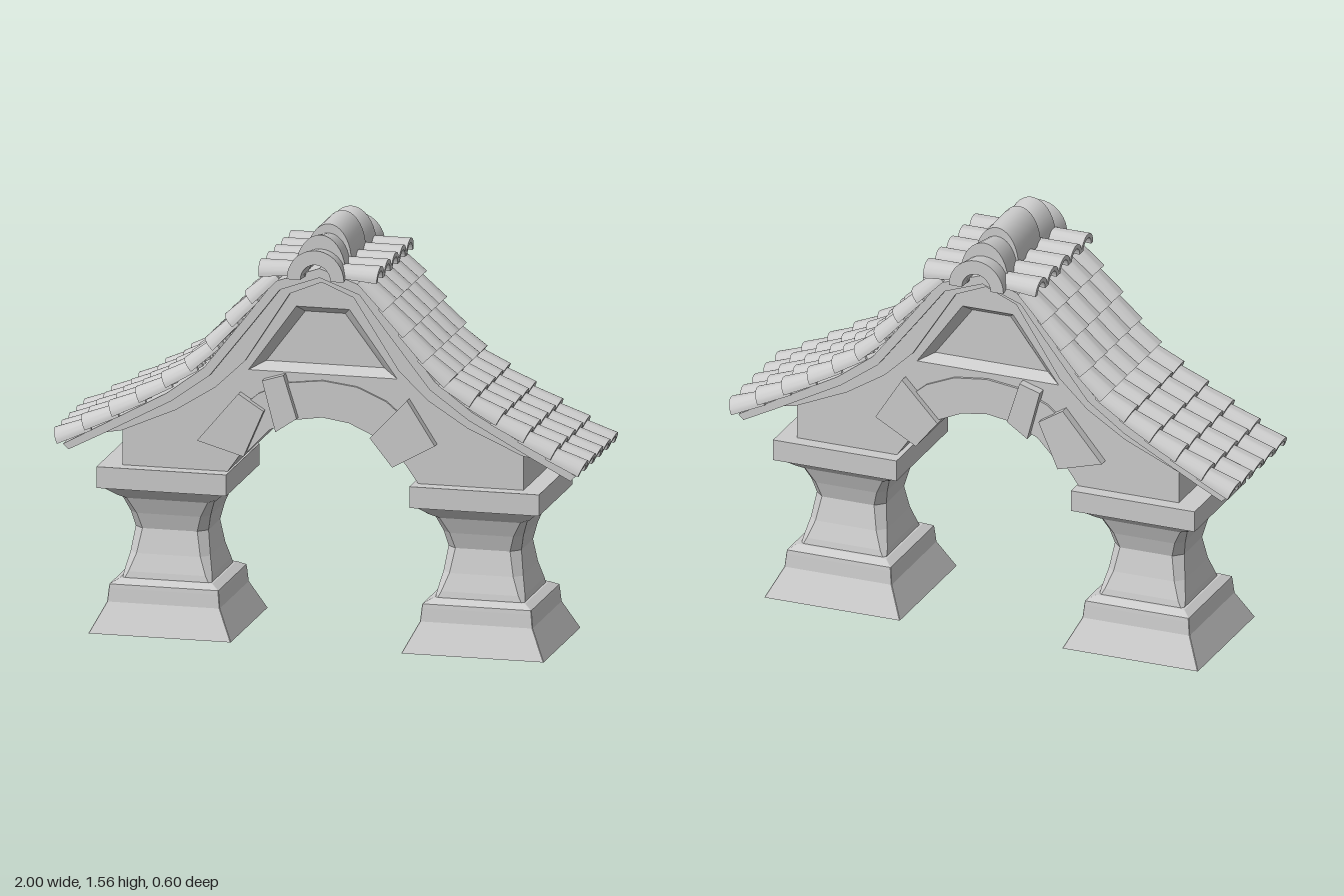
import * as THREE from 'three';
import { toCreasedNormals } from 'three/addons/utils/BufferGeometryUtils.js';

const V = (x, y) => new THREE.Vector2(x, y);
const vecs = (list) => list.map(([x, y]) => V(x, y));
const mirrored = (list) => list.map(([x, y]) => [-x, y]).reverse();
const stone = new THREE.MeshStandardMaterial({ color: 0xcccccc, side: THREE.DoubleSide });

function add(parent, geometry, name) {
  const mesh = new THREE.Mesh(geometry, stone);
  mesh.name = name;
  parent.add(mesh);
  return mesh;
}

// Flat outline extruded evenly to both sides of z = 0
function slab(outline, halfDepth, hole) {
  const shape = new THREE.Shape(vecs(outline));
  if (hole) shape.holes.push(new THREE.Path(vecs(hole)));
  const geo = new THREE.ExtrudeGeometry(shape, { depth: 2 * halfDepth, bevelEnabled: false });
  return geo.translate(0, 0, -halfDepth);
}

// Skin over equal-length loops of 3D points, with fan caps on convex ends
function loft(loops, capStart, capEnd) {
  const pos = [];
  const tri = (...p) => p.forEach((q) => pos.push(...q));
  const n = loops[0].length;
  for (let i = 0; i + 1 < loops.length; i++) {
    for (let j = 0; j < n; j++) {
      const k = (j + 1) % n;
      const [a, b, c, d] = [loops[i][j], loops[i][k], loops[i + 1][k], loops[i + 1][j]];
      tri(a, b, c);
      tri(a, c, d);
    }
  }
  const last = loops[loops.length - 1];
  for (let j = 1; j + 1 < n; j++) {
    if (capStart) tri(loops[0][0], loops[0][j + 1], loops[0][j]);
    if (capEnd) tri(last[0], last[j], last[j + 1]);
  }
  const geo = new THREE.BufferGeometry();
  geo.setAttribute('position', new THREE.Float32BufferAttribute(pos, 3));
  geo.computeVertexNormals();
  return geo;
}

// Square section with cut corners
function chamferedSquare(y, rx, rz, c) {
  return [
    [rx, y, rz - c], [rx, y, -rz + c], [rx - c, y, -rz], [-rx + c, y, -rz],
    [-rx, y, -rz + c], [-rx, y, rz - c], [-rx + c, y, rz], [rx - c, y, rz],
  ];
}

// Half-round shell along +z, radius changing from r0 to r1, height stretched by tall
function tileGeometry(r0, r1, length, thickness, tall = 1) {
  const arch = new THREE.Shape();
  arch.absarc(0, 0, 1, 0, Math.PI, false);
  arch.absarc(0, 0, 1 - thickness / r0, Math.PI, 0, true);
  const geo = new THREE.ExtrudeGeometry(arch, { depth: length, steps: 1, curveSegments: 9, bevelEnabled: false });
  const p = geo.attributes.position;
  for (let i = 0; i < p.count; i++) {
    const r = r0 + (r1 - r0) * (p.getZ(i) / length);
    p.setXY(i, p.getX(i) * r, p.getY(i) * r * tall);
  }
  return toCreasedNormals(geo, 0.7);
}

function makeColumn() {
  const column = new THREE.Group();
  column.name = 'column';
  const square = (y, r) => chamferedSquare(y, r, r, 0.002);
  add(column, loft([[0, 0.268], [0.11, 0.212], [0.16, 0.207], [0.175, 0.205], [0.192, 0.175]]
    .map(([y, r]) => square(y, r)), true, true), 'base');
  // Concave shaft with cut corners
  add(column, loft([
    [0.19, 0.168, 0.165, 0.01], [0.215, 0.165, 0.16, 0.02], [0.28, 0.15, 0.138, 0.03], [0.37, 0.137, 0.118, 0.034],
    [0.43, 0.15, 0.135, 0.03], [0.49, 0.172, 0.158, 0.02], [0.505, 0.19, 0.18, 0.01], [0.545, 0.232, 0.23, 0.004],
  ].map((s) => chamferedSquare(...s)), true, true), 'shaft');
  add(column, new THREE.BoxGeometry(0.488, 0.08, 0.485).translate(0, 0.582, 0), 'capital');
  return column;
}

function makeWall() {
  const wall = new THREE.Group();
  wall.name = 'archWall';
  const gable = [[0.755, 0.765], [0.55, 0.86], [0.42, 0.96], [0.29, 1.11], [0.14, 1.33], [0.08, 1.36], [0, 1.385]];
  const opening = [[0.36, 0.62], [0.3, 0.705], [0.2, 0.81], [0.1, 0.855], [0, 0.87]];
  const panel = [[-0.28, 1.01], [0.28, 1.01], [0.1, 1.26], [-0.1, 1.26]];
  const half = [...opening.slice().reverse(), [0.755, 0.62], ...gable];
  add(wall, slab([...half, ...mirrored(half).slice(1, -1)], 0.19, panel), 'gableWall');

  // Sunken panel with sloping sides on both faces
  const inner = [[-0.222, 1.04], [0.222, 1.04], [0.075, 1.235], [-0.075, 1.235]];
  const sunk = loft([panel.map(([x, y]) => [x, y, 0.19]), inner.map(([x, y]) => [x, y, 0.155])], false, true);
  for (const turn of [0, Math.PI]) add(wall, sunk, 'sunkenPanel').rotation.y = turn;

  // Raised rim under the roof
  const rimLow = [[0, 1.36], [0.12, 1.31], [0.29, 1.045], [0.4, 0.94], [0.55, 0.845], [0.755, 0.755]];
  const rimTop = [[0.9, 0.73], [0.57, 0.9], [0.43, 1.0], [0.33, 1.11], [0.16, 1.34], [0, 1.4]];
  const rim = [...rimLow, ...rimTop];
  add(wall, slab([...rim, ...mirrored(rim).slice(1, -1)], 0.207), 'gableRim');

  // Arch band and its projecting blocks
  const under = [[0.29, 0.695], [0.2, 0.79], [0.1, 0.835], [0, 0.85]];
  const over = [[0, 0.988], [0.13, 0.972], [0.24, 0.925], [0.4, 0.79]];
  const bandHalf = [...over, ...under];
  add(wall, slab([...bandHalf, ...mirrored(bandHalf).slice(1, -1)], 0.2), 'archBand');
  const blocks = {
    leftBlock: [[0.325, 0.94], [0.185, 0.79], [0.27, 0.685], [0.43, 0.775]],
    rightBlock: [[-0.465, 0.74], [-0.29, 0.69], [-0.215, 0.865], [-0.31, 0.925]],
    upperBlock: [[-0.22, 0.98], [-0.17, 0.79], [-0.09, 0.845], [-0.14, 1.005]],
  };
  for (const [name, outline] of Object.entries(blocks)) add(wall, slab(outline, 0.225), name);
  return wall;
}

function makeRoof() {
  const roof = new THREE.Group();
  roof.name = 'roof';

  // Thin deck carrying the tiles
  const top = [[0.965, 0.7], [0.82, 0.78], [0.575, 0.915], [0.435, 1.02], [0.27, 1.23], [0.17, 1.36], [0, 1.42]];
  const low = [[0, 1.385], [0.15, 1.33], [0.25, 1.2], [0.415, 0.99], [0.56, 0.885], [0.81, 0.75], [0.945, 0.68]];
  const half = [...low, ...top];
  add(roof, slab([...half, ...mirrored(half).slice(1, -1)], 0.24), 'deck');

  // Tile courses follow the slope; each lower lip sits over the course beneath
  const slope = new THREE.SplineCurve(vecs([[0.975, 0.695], [0.82, 0.78], [0.68, 0.86], [0.575, 0.925],
    [0.435, 1.03], [0.27, 1.23], [0.16, 1.36]]));
  const courses = 9;
  const runs = [];
  for (let i = 0; i < courses; i++) {
    const a = slope.getPointAt(i / courses);
    const b = slope.getPointAt((i + 1) / courses);
    const dir = b.clone().sub(a).normalize();
    const lip = V(dir.y, -dir.x).multiplyScalar(dir.y > 0 && dir.x < 0 ? 0.012 : 0);
    runs.push([a.add(lip), b.addScaledVector(dir, 0.02)]);
  }
  runs.push([V(0.222, 1.383), V(0.05, 1.395)]);

  const tile = tileGeometry(0.054, 0.043, 1, 0.018).rotateY(-Math.PI / 2);
  for (const [name, turn] of [['leftSlope', 0], ['rightSlope', Math.PI]]) {
    const side = new THREE.Group();
    side.name = name;
    side.rotation.y = turn;
    roof.add(side);
    for (const [a, b] of runs) {
      for (let row = -2; row <= 2; row++) {
        const mesh = add(side, tile, 'roofTile');
        mesh.position.set(a.x, a.y, row * 0.108);
        mesh.rotation.z = -Math.atan2(b.y - a.y, a.x - b.x);
        mesh.scale.x = a.distanceTo(b);
      }
    }
  }

  // Ridge: a middle cap, then rising and flared caps at each end
  const ridge = new THREE.Group();
  ridge.name = 'ridge';
  roof.add(ridge);
  add(ridge, tileGeometry(0.085, 0.085, 0.21, 0.03, 1.6), 'ridgeCap').position.set(0, 1.419, -0.105);
  for (const turn of [0, Math.PI]) {
    const end = new THREE.Group();
    end.name = 'ridgeEnd';
    end.rotation.y = turn;
    ridge.add(end);
    add(end, tileGeometry(0.078, 0.095, 0.14, 0.03, 1.5), 'risingCap').position.set(0, 1.4, 0.085);
    add(end, tileGeometry(0.095, 0.108, 0.09, 0.045, 1.05), 'endCap').position.set(0, 1.388, 0.21);
  }
  return roof;
}

export function createModel() {
  const gate = new THREE.Group();
  gate.name = 'tiledArchGate';
  for (const x of [0.583, -0.595]) {
    const column = makeColumn();
    column.position.x = x;
    gate.add(column);
  }
  gate.add(makeWall(), makeRoof());
  return gate;
}
